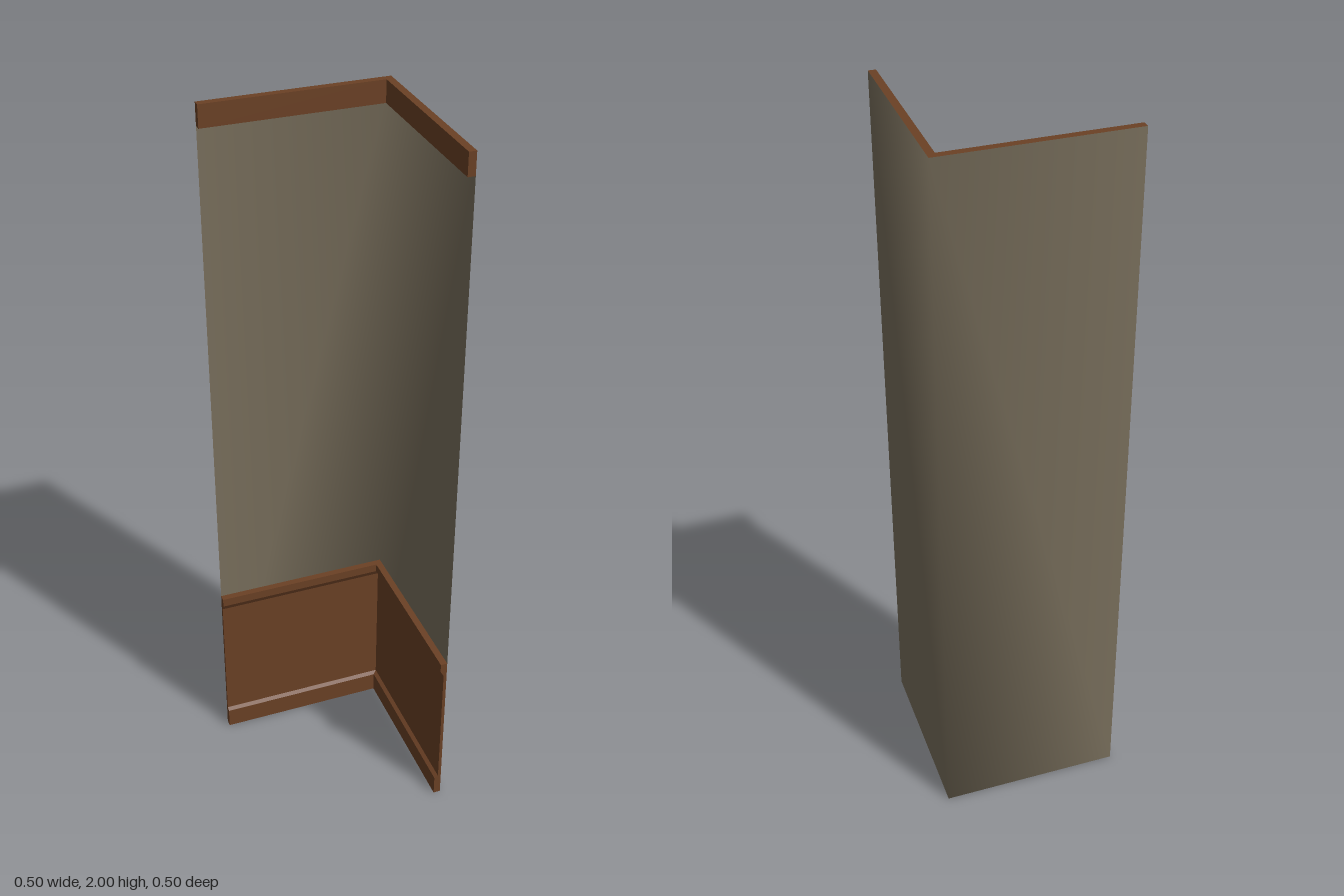
import * as THREE from 'three';

const H = 0.25; // half the footprint

// Sweep a profile of [depth from wall, height] points along the L-shaped wall, mitred at the corner
function sweep(profile, caps) {
  const n = profile.length, pos = [], idx = [];
  const place = [
    (d, y) => [-H, y, -H + d],     // free end of the back wall
    (d, y) => [H - d, y, -H + d],  // mitred corner
    (d, y) => [H - d, y, H],       // free end of the side wall
  ];
  for (const at of place) for (const [d, y] of profile) pos.push(...at(d, y));
  for (let i = 0; i < 2; i++) {
    for (let k = 0; k < n - 1; k++) {
      const a = i * n + k, b = a + n;
      idx.push(a, b, b + 1, a, b + 1, a + 1);
    }
  }
  // Close both free ends
  if (caps) {
    for (let k = 1; k < n - 1; k++) {
      idx.push(0, k, k + 1);
      idx.push(2 * n, 2 * n + k + 1, 2 * n + k);
    }
  }
  const g = new THREE.BufferGeometry();
  g.setAttribute('position', new THREE.Float32BufferAttribute(pos, 3));
  g.setIndex(idx);
  // Trim keeps hard edges, the wall sheet shades smoothly round its corner
  const out = caps ? g.toNonIndexed() : g;
  out.computeVertexNormals();
  return out;
}

export function createModel() {
  const group = new THREE.Group();
  group.name = 'wallCorner';
  const plaster = new THREE.MeshStandardMaterial({ color: 0x7a705d, side: THREE.DoubleSide });
  plaster.name = 'plaster';
  const wood = new THREE.MeshStandardMaterial({ color: 0x6b4125, side: THREE.DoubleSide });
  wood.name = 'wood';

  const add = (name, profile, material, caps) => {
    const mesh = new THREE.Mesh(sweep(profile, caps), material);
    mesh.name = name;
    group.add(mesh);
  };

  // Thin wall sheet
  add('wall', [[0, 0], [0, 2]], plaster, false);

  // Wooden trim on the inner side
  add('wainscotPanel', [[0, 0.065], [0.009, 0.065], [0.009, 0.46], [0, 0.46]], wood, true);
  add('baseboard', [[0, 0], [0.02, 0], [0.02, 0.06], [0.009, 0.066], [0, 0.066]], wood, true);
  add('chairRail', [[0, 0.457], [0.009, 0.457], [0.019, 0.475], [0.019, 0.5], [0, 0.5]], wood, true);
  add('crownTrim', [[0, 1.94], [0.02, 1.94], [0.02, 2], [0, 2]], wood, true);
  return group;
}
